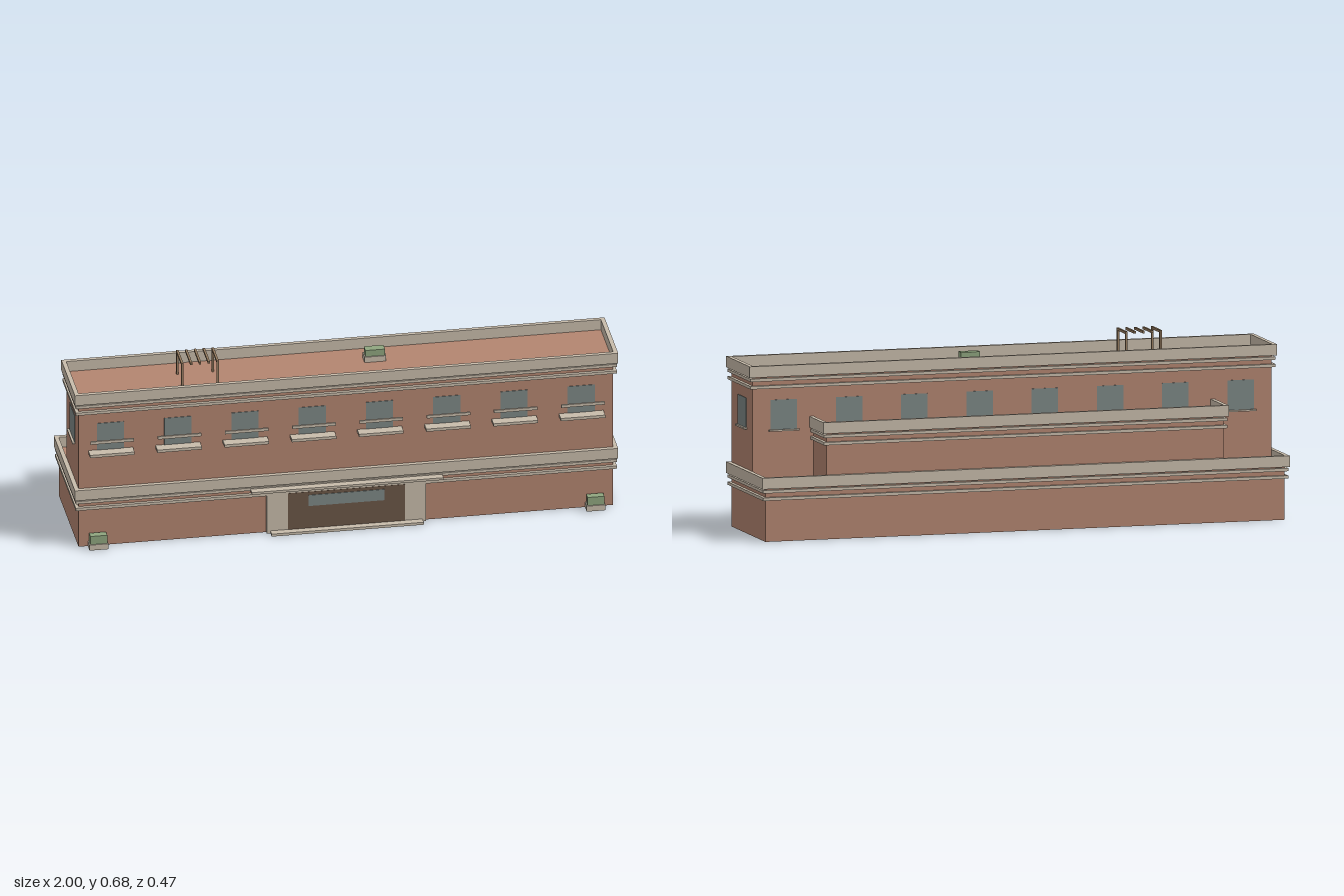
import * as THREE from 'three';

const mat = (color) => new THREE.MeshStandardMaterial({ color });

export function createModel() {
  const model = new THREE.Group();
  model.name = 'building';
  const brick = mat(0xb38570), stone = mat(0xc8bcab), glass = mat(0x7d8886);
  const darkWood = mat(0x6b5646), wood = mat(0x967c60), leaf = mat(0x8fa57f);

  // Box given by its extents on each axis
  function box(name, material, [x0, x1], [y0, y1], [z0, z1], parent = model) {
    const mesh = new THREE.Mesh(new THREE.BoxGeometry(x1 - x0, y1 - y0, z1 - z0), material);
    mesh.position.set((x0 + x1) / 2, (y0 + y1) / 2, (z0 + z1) / 2);
    mesh.name = name;
    parent.add(mesh);
    return mesh;
  }
  const mid = (c, w) => [c - w / 2, c + w / 2];

  // Storey: brick block, two string courses and a hollow parapet
  const T = 0.016, B = 0.012;
  function storey(name, halfX, z0, z1, base, roof, openFront) {
    const g = new THREE.Group();
    g.name = name;
    model.add(g);
    box(name + 'Walls', brick, [-halfX, halfX], [base, roof], [z0, z1], g);
    const front = openFront ? 0 : 1;
    for (const drop of [0.043, 0.016])
      box('stringCourse', stone, [-halfX - B, halfX + B], [roof - drop, roof - drop + 0.011],
        [z0 - B, z1 + B * front], g);
    const h = [roof, roof + 0.041];
    for (const s of [-1, 1])
      box('parapetSide', stone, mid(s * (halfX + T / 2), T), h, [z0, z1], g);
    const wide = [-halfX - T, halfX + T];
    box('parapetBack', stone, wide, h, [z0 - T, z0], g);
    if (!openFront) box('parapetFront', stone, wide, h, [z1, z1 + T], g);
  }
  storey('groundStorey', 0.984, -0.221, 0.197, 0, 0.195, false);
  storey('rearStorey', 0.753, -0.221, -0.063, 0.195, 0.389, true);
  storey('upperStorey', 0.984, -0.063, 0.197, 0.195, 0.582, false);

  // Front windows with deep sills and rails, rear windows with narrow sills
  const winY = [0.386, 0.496];
  for (let i = 0; i < 8; i++) {
    const x = (i - 3.5) * 0.2475;
    box('frontWindow', glass, mid(x, 0.1), winY, [0.19, 0.199]);
    box('frontSill', stone, mid(x, 0.164), [0.377, 0.388], [0.197, 0.237]);
    box('frontRail', stone, mid(x, 0.16), [0.431, 0.442], [0.23, 0.237]);
    box('rearWindow', glass, mid(x, 0.1), winY, [-0.065, -0.056]);
    box('rearSill', stone, mid(x, 0.115), [0.381, 0.387], [-0.073, -0.063]);
  }

  // Side windows
  for (const s of [-1, 1]) {
    box('sideWindow', glass, mid(s * 0.982, 0.008), winY, mid(0.067, 0.102));
    box('sideSill', stone, mid(s * 0.989, 0.01), [0.381, 0.387], mid(0.067, 0.115));
  }

  // Entrance
  for (const s of [-1, 1])
    box('entrancePillar', stone, mid(s * 0.254, 0.078), [0, 0.18], [0.197, 0.21]);
  box('entranceLintel', stone, [-0.215, 0.215], [0.157, 0.18], [0.197, 0.21]);
  box('entranceDoor', darkWood, [-0.215, 0.215], [0.01, 0.157], [0.197, 0.211]);
  box('entranceGlass', glass, [-0.14, 0.14], [0.1, 0.144], [0.205, 0.213]);
  box('entranceStep', stone, [-0.28, 0.28], [0, 0.01], [0.197, 0.237]);
  box('entranceCanopy', stone, [-0.353, 0.353], [0.176, 0.185], [0.197, 0.237]);

  // Planters by the corners and on the roof
  function planter(name, x, y, z, w, d, h) {
    box(name + 'Base', stone, mid(x, w), [y, y + 0.022], mid(z, d));
    box(name + 'Hedge', leaf, mid(x, w - 0.008), [y + 0.022, y + h], mid(z, d - 0.008));
  }
  for (const s of [-1, 1]) planter('cornerPlanter', s * 0.915, 0, 0.217, 0.07, 0.036, 0.055);
  planter('roofPlanter', 0.134, 0.582, 0.03, 0.08, 0.042, 0.047);

  // Roof pergola: corner posts and five rafters
  for (let i = 0; i < 5; i++) {
    const x = mid(-0.59 + i * 0.0325, 0.008);
    box('pergolaRafter', wood, x, [0.669, 0.678], [0.022, 0.131]);
    if (i % 4 === 0)
      for (const z of [0.0255, 0.1275]) box('pergolaPost', wood, x, [0.582, 0.669], mid(z, 0.007));
  }
  return model;
}
